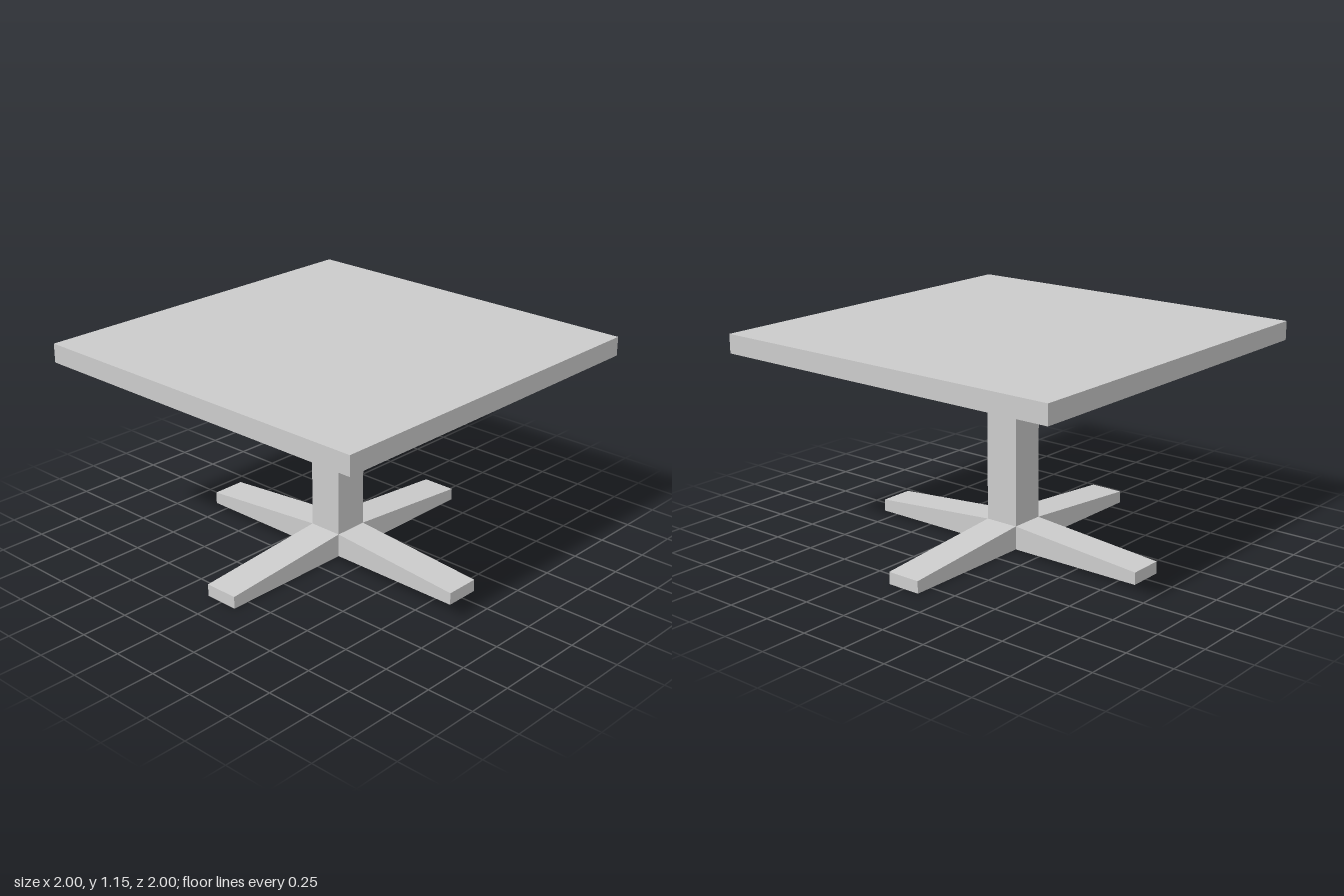
import * as THREE from 'three';

const COL = 0.094;   // half width of column and feet
const TOP = 1.15, CEIL = 1.10, UNDER = 1.05;

export function createModel() {
  const group = new THREE.Group();
  const material = new THREE.MeshStandardMaterial({ color: 0xcccccc, flatShading: true });
  const add = (name, geometry) => {
    const mesh = new THREE.Mesh(geometry, material);
    mesh.name = name;
    group.add(mesh);
    return mesh;
  };
  const square = (shape, h) =>
    shape.moveTo(-h, -h).lineTo(h, -h).lineTo(h, h).lineTo(-h, h).closePath();

  // Table top panel
  add('tableTop', new THREE.BoxGeometry(2, TOP - CEIL, 2)).position.y = (TOP + CEIL) / 2;

  // Rim hanging below the panel, leaving a shallow recess underneath
  const rim = square(new THREE.Shape(), 1);
  rim.holes.push(square(new THREE.Path(), 0.905));
  const rimGeometry = new THREE.ExtrudeGeometry(rim, { depth: CEIL - UNDER, bevelEnabled: false });
  rimGeometry.rotateX(-Math.PI / 2);
  add('tableRim', rimGeometry).position.y = UNDER;

  // Square column from the floor up to the recess
  add('column', new THREE.BoxGeometry(COL * 2, CEIL, COL * 2)).position.y = CEIL / 2;

  // Four feet, sloping down outward
  const foot = new THREE.Shape([
    new THREE.Vector2(COL, 0),
    new THREE.Vector2(0.843, 0),
    new THREE.Vector2(0.843, 0.065),
    new THREE.Vector2(COL, 0.127),
  ]);
  const footGeometry = new THREE.ExtrudeGeometry(foot, { depth: COL * 2, bevelEnabled: false });
  footGeometry.translate(0, 0, -COL);
  ['leftFoot', 'backFoot', 'rightFoot', 'frontFoot'].forEach((name, i) => {
    add(name, footGeometry).rotation.y = i * Math.PI / 2;
  });

  return group;
}
